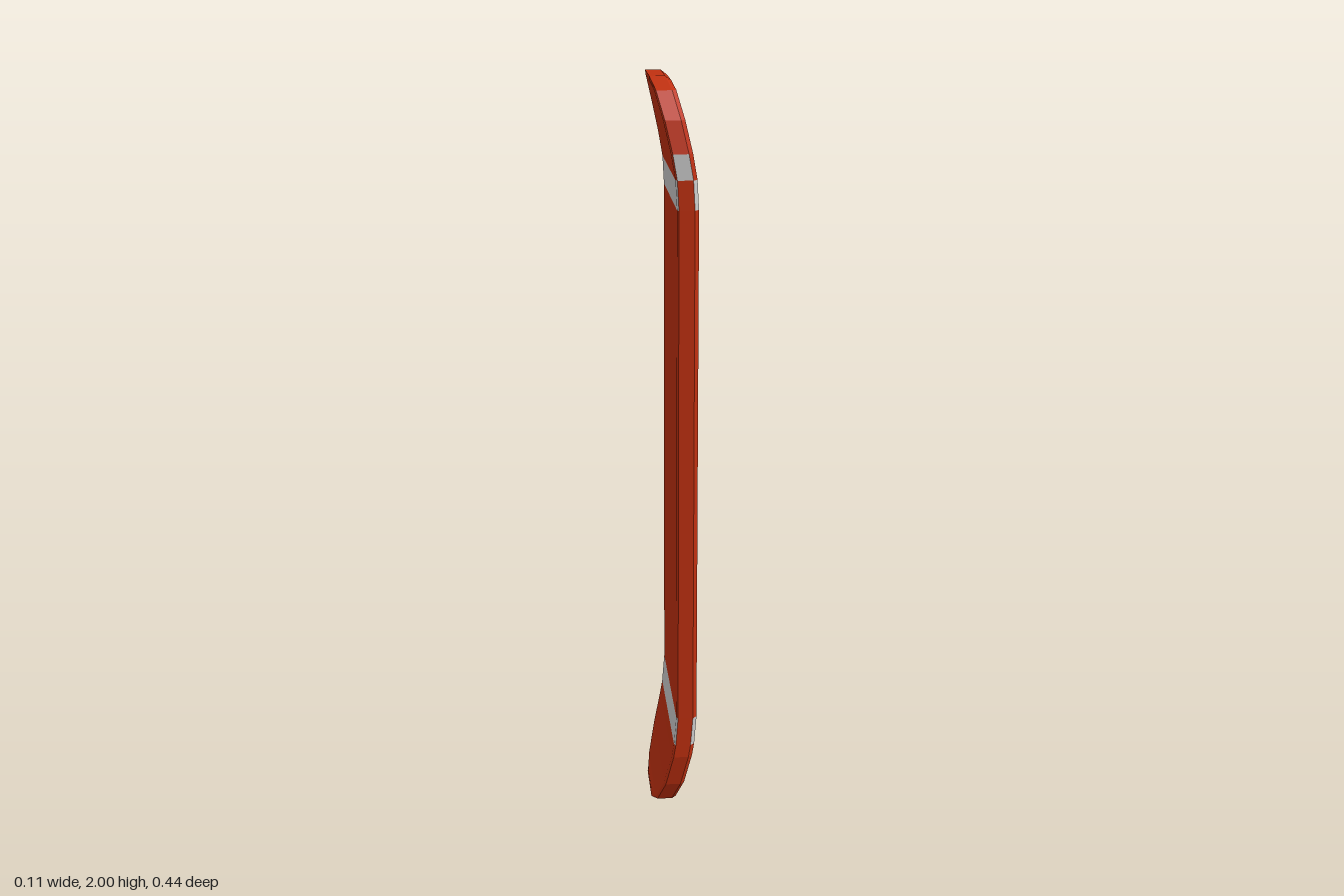
import * as THREE from 'three';

// Half of the outline, bottom to top: [height, half width]
const ROWS = [
  [0, 0.075], [0.028, 0.145], [0.1, 0.2], [0.19, 0.218], [0.225, 0.218], [0.305, 0.218],
  [1.685, 0.218], [1.76, 0.218], [1.825, 0.218], [1.905, 0.2], [1.972, 0.145], [2, 0.075],
];
const BEVEL = 0.012;

// Sideways bend of nose and tail by distance from the nearer end: [distance, shift]
const BEND = [[0, -0.063], [0.028, -0.051], [0.1, -0.032], [0.19, -0.012], [0.24, -0.004], [0.31, 0]];

function bend(y) {
  const d = Math.min(y, 2 - y);
  for (let i = 1; i < BEND.length; i++) {
    const [d0, s0] = BEND[i - 1], [d1, s1] = BEND[i];
    if (d <= d1) return THREE.MathUtils.lerp(s0, s1, (d - d0) / (d1 - d0));
  }
  return 0;
}

// Eight-sided cross-section: broad face, bevel and rim, mirrored in z
function section([y, w]) {
  const inY = THREE.MathUtils.clamp(y, BEVEL, 2 - BEVEL);
  const inW = w - BEVEL;
  const p = (x, py, z) => new THREE.Vector3(x + bend(py), py, z);
  const half = (s) => [
    p(0.057, inY, s * inW), p(0.046, y, s * w), p(0.006, y, s * w), p(0.002, inY, s * inW),
  ];
  return [...half(1), ...half(-1).reverse()];
}

function meshOf(name, color, quads) {
  const pos = [];
  for (const [a, b, c, d] of quads) for (const v of [a, b, c, a, c, d]) pos.push(v.x, v.y, v.z);
  const geo = new THREE.BufferGeometry();
  geo.setAttribute('position', new THREE.Float32BufferAttribute(pos, 3));
  geo.computeVertexNormals();
  const mesh = new THREE.Mesh(geo, new THREE.MeshStandardMaterial({ color, flatShading: true }));
  mesh.name = name;
  return mesh;
}

export function createModel() {
  const rings = ROWS.map(section);
  const parts = { deck: [], lowerStripe: [], upperStripe: [] };

  // Side 1 is the +z rim, side 5 the -z rim; the rest are faces and bevels
  const partAt = (row, side) => {
    if (side === 1) return row === 7 ? 'upperStripe' : 'deck';
    if (side === 5) return 'deck';
    return row === 4 ? 'lowerStripe' : row === 6 ? 'upperStripe' : 'deck';
  };

  for (let i = 0; i < rings.length - 1; i++) {
    for (let k = 0; k < 8; k++) {
      const n = (k + 1) % 8, lo = rings[i], hi = rings[i + 1];
      parts[partAt(i, k)].push([lo[k], hi[k], hi[n], lo[n]]);
    }
  }

  // Blunt ends of the tail and nose
  const tail = rings[0], nose = rings[rings.length - 1];
  for (let k = 0; k < 3; k++) {
    parts.deck.push([tail[k], tail[k + 1], tail[6 - k], tail[7 - k]]);
    parts.deck.push([nose[7 - k], nose[6 - k], nose[k + 1], nose[k]]);
  }

  const group = new THREE.Group();
  group.name = 'skateboardDeck';
  group.add(
    meshOf('deck', 0xc03010, parts.deck),
    meshOf('lowerStripe', 0xcccccc, parts.lowerStripe),
    meshOf('upperStripe', 0xcccccc, parts.upperStripe),
  );
  return group;
}
